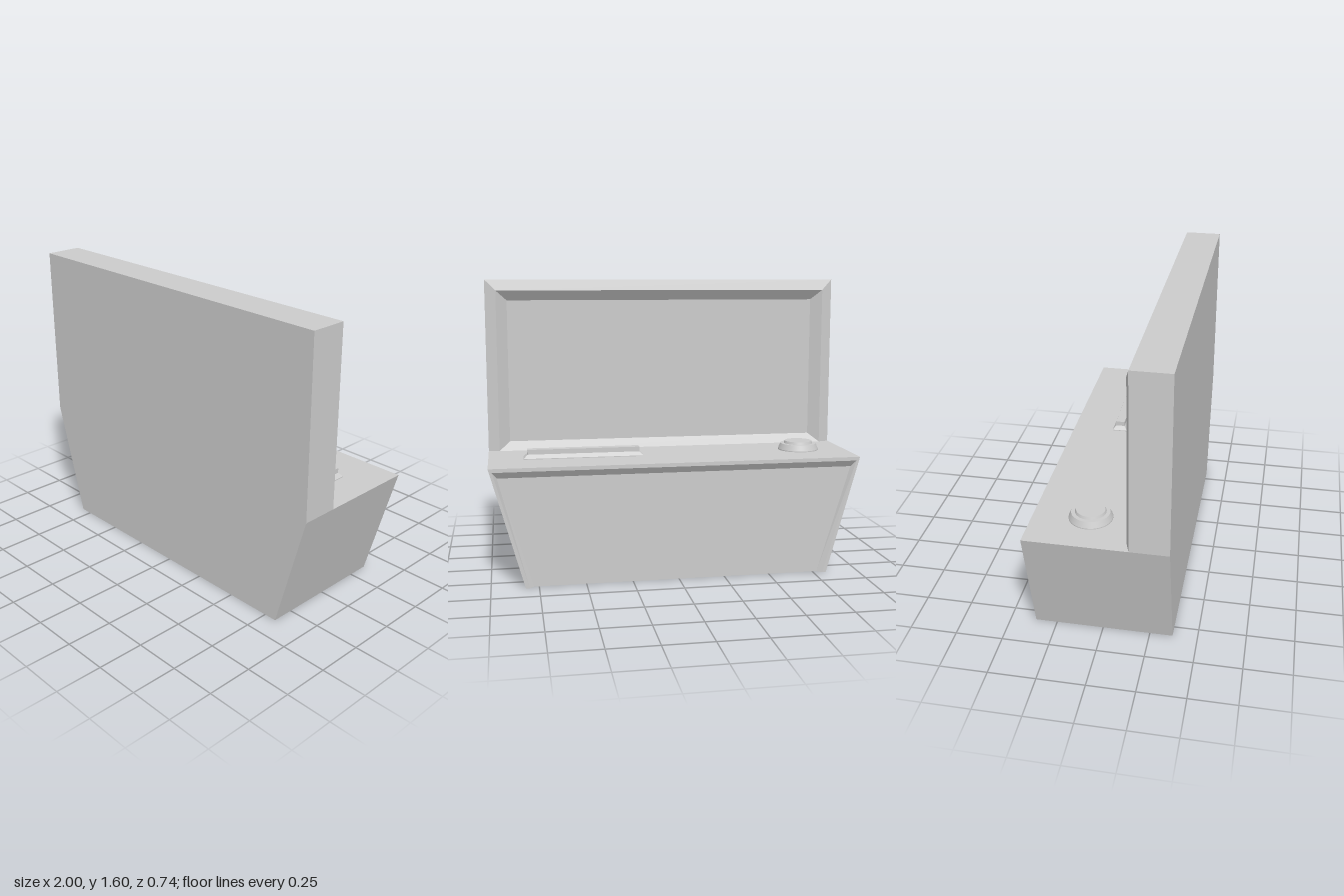
import * as THREE from 'three';

const material = new THREE.MeshStandardMaterial({ color: 0xcccccc });

// Capped, hard-edged skin over four-cornered rings; each ring runs
// counter-clockwise when seen from outside the first cap.
function loft(name, rings) {
  const pos = [];
  const tri = (a, b, c) => pos.push(...a, ...b, ...c);
  for (let i = 0; i < rings.length - 1; i++) {
    for (let j = 0; j < 4; j++) {
      const k = (j + 1) % 4;
      const [a, b] = [rings[i][j], rings[i][k]];
      const [d, c] = [rings[i + 1][j], rings[i + 1][k]];
      tri(a, d, b);
      tri(b, d, c);
    }
  }
  const s = rings[0], e = rings[rings.length - 1];
  tri(s[0], s[1], s[2]);
  tri(s[0], s[2], s[3]);
  tri(e[0], e[2], e[1]);
  tri(e[0], e[3], e[2]);
  const geo = new THREE.BufferGeometry();
  geo.setAttribute('position', new THREE.Float32BufferAttribute(pos, 3));
  geo.computeVertexNormals();
  const mesh = new THREE.Mesh(geo, material);
  mesh.name = name;
  return mesh;
}

// Upright ring: half width at bottom and top, bottom and top height, depth
const upright = (wb, wt, yb, yt, z) => [[-wb, yb, z], [wb, yb, z], [wt, yt, z], [-wt, yt, z]];
// Level ring: half width, half depth, height
const level = (w, d, y) => [[-w, y, -d], [w, y, -d], [w, y, d], [-w, y, d]];

export function createModel() {
  const model = new THREE.Group();
  const deckY = 0.642;

  // Tall panel with chamfered rim and sunken screen on the rear side
  model.add(loft('screenPanel', [
    upright(1, 1, deckY, 1.6, 0.37),
    upright(1, 1, deckY, 1.6, 0.17),
    upright(0.94, 0.94, deckY, 1.54, 0.15),
    upright(0.88, 0.88, 0.69, 1.485, 0.19),
  ]));

  // Lower body, narrowing toward the floor
  const backZ = -0.365, panelZ = -0.34;
  model.add(loft('consoleBody', [
    upright(0.82, 1, 0, deckY, 0.37),
    upright(0.82, 1, 0, deckY, panelZ),
  ]));

  // Raised lip round the sides and top of the rear face, open at the floor
  const lipRing = (side, top) => {
    const w = top ? 1 : 0.82;
    const y = (drop) => (top ? deckY - drop : 0);
    return [
      [side * w, y(0), panelZ],
      [side * w, y(0), backZ],
      [side * (w - 0.02), y(0.02), backZ],
      [side * (w - 0.045), y(0.055), panelZ],
    ];
  };
  model.add(loft('rearLip', [
    lipRing(-1, false), lipRing(-1, true), lipRing(1, true), lipRing(1, false),
  ]));

  // Round push button on the deck
  const profile = [[0.113, 0], [0.113, 0.005], [0.1, 0.036], [0.08, 0.036], [0.075, 0.05], [0, 0.05]];
  const segments = profile.slice(1).map((p, i) =>
    new THREE.LatheGeometry([profile[i], p].map(([x, y]) => new THREE.Vector2(x, y)), 40));
  const button = new THREE.Group();
  button.name = 'button';
  segments.forEach((geo) => button.add(new THREE.Mesh(geo, material)));
  button.position.set(-0.74, deckY, -0.07);
  model.add(button);

  // Long bar on a flared base
  const bar = loft('slotBar', [
    level(0.325, 0.042, 0),
    level(0.325, 0.042, 0.004),
    level(0.305, 0.025, 0.024),
    level(0.305, 0.025, 0.05),
  ]);
  bar.position.set(0.487, deckY, -0.095);
  model.add(bar);

  return model;
}
